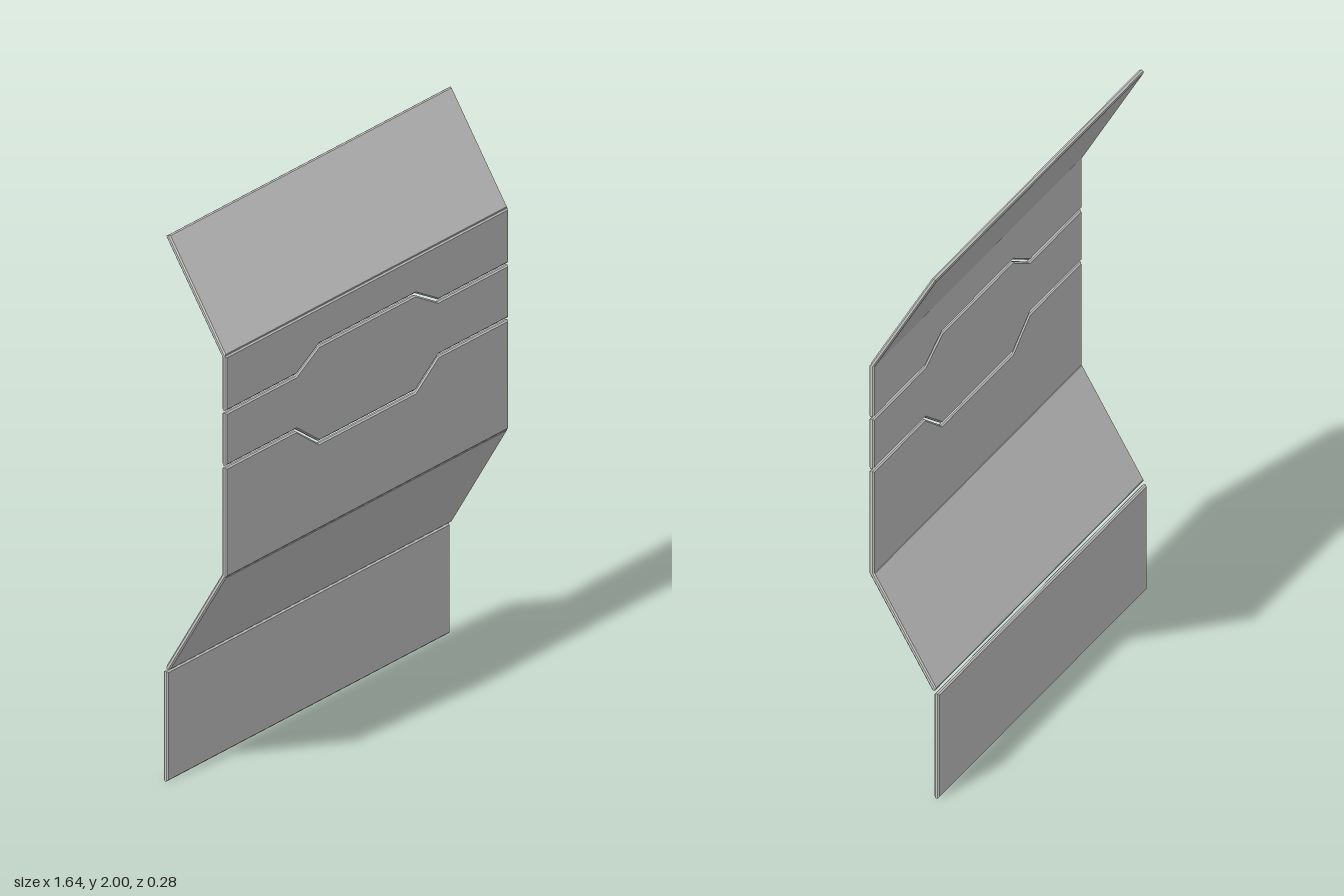
import * as THREE from 'three';

const HALF = 0.82, THICK = 0.018, BEVEL = 0.005, FRONT = 0.121;
const material = new THREE.MeshStandardMaterial({ color: 0xcccccc, flatShading: true });

// Thin plate with chamfered edges, centred on its own z = 0
function plate(name, points) {
  const shape = new THREE.Shape(points.map(([x, y]) => new THREE.Vector2(x, y)));
  const geometry = new THREE.ExtrudeGeometry(shape, {
    depth: THICK - 2 * BEVEL,
    bevelThickness: BEVEL, bevelSize: BEVEL, bevelOffset: -BEVEL, bevelSegments: 1,
  });
  geometry.translate(0, 0, -THICK / 2 + BEVEL);
  const mesh = new THREE.Mesh(geometry, material);
  mesh.name = name;
  return mesh;
}

// Horizontal edge from left to right, stepping to another height in the middle
const straight = (y) => [[-HALF, y], [HALF, y]];
const stepped = (y, yMid) => [
  [-HALF, y], [-0.412, y], [-0.28, yMid], [0.28, yMid], [0.412, y], [HALF, y],
];

// Upright plate between a bottom and a top edge
function upright(name, bottom, top, z) {
  const mesh = plate(name, [...bottom, ...top.reverse()]);
  mesh.position.z = z;
  return mesh;
}

// Sloping plate between two (y, z) points of the side profile
function sloping(name, [y0, z0], [y1, z1]) {
  const length = Math.hypot(y1 - y0, z1 - z0);
  const mesh = plate(name, [...straight(0), ...straight(length).reverse()]);
  mesh.position.set(0, y0, z0);
  mesh.rotation.x = Math.atan2(z1 - z0, y1 - y0);
  return mesh;
}

export function createModel() {
  const model = new THREE.Group();
  model.name = 'foldedWallPanel';
  model.add(
    // Base, set back
    upright('basePanel', straight(0), straight(0.402), -0.123),
    // Slope leaning out to the front face
    sloping('lowerSlope', [0.413, -0.115], [0.808, 0.12]),
    // Front face, split in three interlocking plates
    upright('lowerFrontPanel', straight(0.803), stepped(1.203, 1.115), FRONT),
    upright('middleFrontPanel', stepped(1.211, 1.124), stepped(1.403, 1.47), FRONT),
    upright('upperFrontPanel', stepped(1.411, 1.478), straight(1.61), FRONT),
    // Slope leaning back at the top
    sloping('upperSlope', [1.607, 0.12], [1.995, -0.115]),
  );
  // Slight turn of the whole panel
  model.rotation.y = -0.0095;
  return model;
}
